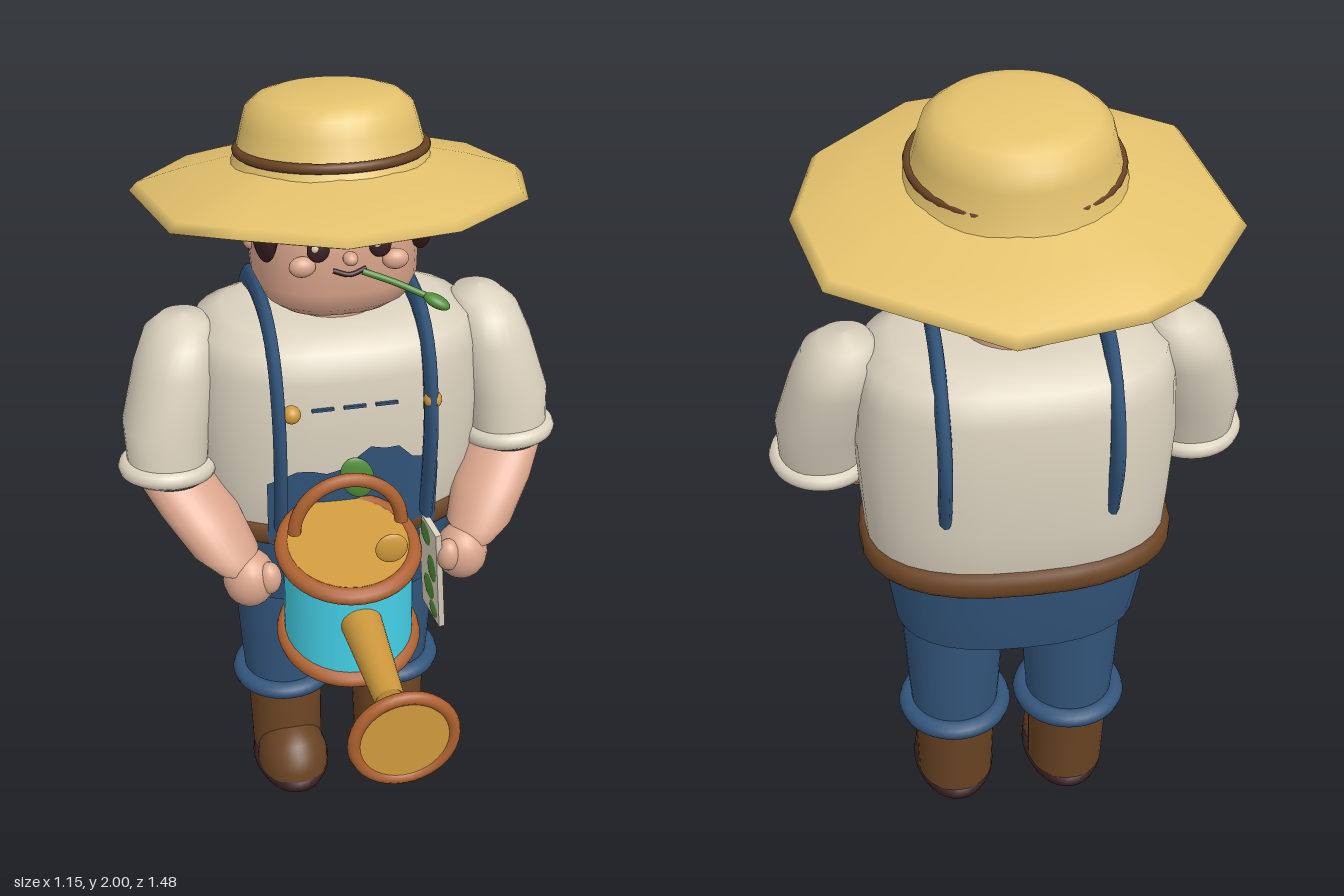
import * as THREE from 'three';

const mat = (name, color) => Object.assign(new THREE.MeshStandardMaterial({ color }), { name });

export function createModel() {
  const root = new THREE.Group();
  root.name = 'gardener';
  const straw = mat('straw', 0xe4c26d), cream = mat('cream cloth', 0xdcd2bf), skin = mat('skin', 0xdba68c);
  const denim = mat('denim', 0x32557b), brown = mat('leather', 0x6a4323), dark = mat('dark hair', 0x3b2023);
  const copper = mat('copper', 0xad602f), gold = mat('brass', 0xcf9a3d), cyan = mat('cyan enamel', 0x47d8f0);
  const green = mat('leaf green', 0x4f8c38);
  straw.side = denim.side = THREE.DoubleSide;

  const add = (name, geo, m, parent = root) => {
    const mesh = new THREE.Mesh(geo, m);
    mesh.name = name;
    parent.add(mesh);
    return mesh;
  };
  // Skin over horizontal superellipse rings [x, y, z, rx, rz], listed bottom to top
  const loft = (rings, n = 2, seg = 32) => {
    const pos = [], idx = [];
    const p = (v) => Math.sign(v) * Math.abs(v) ** (2 / n);
    rings.forEach(([x, y, z, rx, rz]) => {
      for (let j = 0; j < seg; j++) {
        const t = (j / seg) * Math.PI * 2;
        pos.push(x + rx * p(Math.cos(t)), y, z + rz * p(Math.sin(t)));
      }
    });
    for (let i = 0; i < rings.length - 1; i++) for (let j = 0; j < seg; j++) {
      const a = i * seg + j, b = i * seg + (j + 1) % seg;
      idx.push(a, a + seg, b, b, a + seg, b + seg);
    }
    const g = new THREE.BufferGeometry();
    g.setAttribute('position', new THREE.Float32BufferAttribute(pos, 3));
    g.setIndex(idx);
    g.computeVertexNormals();
    return g;
  };
  // Rings sharing one centre line: [y, rx, rz]
  const column = (x, z, rows, n) => loft(rows.map(([y, rx, rz = rx]) => [x, y, z, rx, rz]), n);
  const blob = (name, m, [x, y, z], [a, b, c], parent) => {
    const mesh = add(name, new THREE.SphereGeometry(1, 20, 14), m, parent);
    mesh.position.set(x, y, z);
    mesh.scale.set(a, b, c);
    return mesh;
  };
  const ring = (name, m, [x, y, z], r, tube, parent) => {
    const mesh = add(name, new THREE.TorusGeometry(r, tube, 10, 36).rotateX(Math.PI / 2), m, parent);
    mesh.position.set(x, y, z);
    return mesh;
  };
  const tube = (pts, r) => new THREE.TubeGeometry(
    new THREE.CatmullRomCurve3(pts.map((q) => new THREE.Vector3(...q))), 32, r, 10);

  // Torso, hips and belt
  add('shirt', column(0, -0.255, [[0.79, 0.29, 0.18], [0.815, 0.325, 0.2], [0.9, 0.358, 0.245], [1.05, 0.368, 0.26],
    [1.2, 0.375, 0.27], [1.35, 0.365, 0.262], [1.42, 0.345, 0.24], [1.45, 0.28, 0.19], [1.46, 0.2, 0.14],
    [1.46, 0, 0]], 2.5), cream);
  add('trouserSeat', column(0, -0.255, [[0.67, 0, 0], [0.67, 0.3, 0.21], [0.67, 0.3, 0.21], [0.78, 0.316, 0.234],
    [0.91, 0.332, 0.252]], 2.5), denim);
  add('belt', column(0, -0.26, [[0.88, 0.33, 0.23], [0.885, 0.365, 0.262], [0.9, 0.376, 0.272], [0.925, 0.376, 0.272],
    [0.94, 0.365, 0.262], [0.945, 0.33, 0.23]], 2.5), brown);
  add('neck', column(0, -0.25, [[1.42, 0.12], [1.52, 0.12]]), skin);

  // Bib wrapped on the chest, with an uneven upper edge
  const torsoZ = (x, y) => -0.24 + (0.245 + 0.08 * (y - 0.9)) * (1 - Math.abs(x / 0.37) ** 2.5) ** 0.4;
  const bibTop = [1.08, 1.1, 1.12, 1.12, 1.11, 1.12, 1.15, 1.18, 1.17, 1.17, 1.13, 1.12, 1.09];
  const bib = new THREE.PlaneGeometry(0.44, 1, 12, 5), bp = bib.attributes.position;
  for (let i = 0; i < bp.count; i++) {
    const x = bp.getX(i), y = 0.89 + (bp.getY(i) + 0.5) * (bibTop[i % 13] - 0.89);
    bp.setXYZ(i, x, y, torsoZ(x, y) + 0.004);
  }
  bib.computeVertexNormals();
  add('bib', bib, denim);
  [-0.08, 0, 0.08].forEach((x) => add('bibStitch', new THREE.BoxGeometry(0.055, 0.007, 0.008), denim)
    .position.set(x, 1.288, 0.014));
  blob('bibLeaf', green, [0, 1.1, 0.04], [0.042, 0.06, 0.012]).rotation.z = 0.3;
  [-0.16, 0.192].forEach((x) => blob('strapButton', gold, [x, 1.293, 0.028], [0.023, 0.023, 0.023]));

  // Mirrored parts
  for (const s of [1, -1]) {
    const strap = add('strap', tube([[0, 0.95, -0.005], [0, 1.1, 0.02], [0, 1.25, 0.025], [0, 1.4, -0.018],
      [0, 1.472, -0.1], [0, 1.495, -0.245], [0, 1.467, -0.39], [0, 1.365, -0.487], [0, 1.25, -0.515],
      [0, 1.1, -0.475]], 0.036), denim);
    strap.scale.x = 0.46;
    strap.position.x = s * 0.19;

    add('sleeve', loft([[0.45, 1.08, -0.16, 0.1, 0.105], [0.442, 1.2, -0.185, 0.11, 0.123],
      [0.405, 1.34, -0.22, 0.105, 0.13], [0.39, 1.41, -0.235, 0.09, 0.115], [0.38, 1.445, -0.24, 0.06, 0.075],
      [0.38, 1.46, -0.24, 0, 0]].map(([x, ...r]) => [s * x, ...r]), 2.2), cream);
    ring('sleeveCuff', cream, [s * 0.45, 1.08, -0.16], 0.1, 0.025).rotation.set(-0.1, 0, s * 0.05);
    add('forearm', loft([[0.32, 0.87, 0.02, 0.05, 0.06], [0.335, 0.91, 0, 0.085, 0.08], [0.39, 1.0, -0.08, 0.1, 0.108],
      [0.44, 1.07, -0.145, 0.097, 0.103]].map(([x, ...r]) => [s * x, ...r])), skin);
    blob('hand', skin, [s * 0.28, 0.835, 0.035], [0.068, 0.078, 0.07]);
    blob('thumb', skin, [s * 0.235, 0.85, 0.07], [0.032, 0.045, 0.032]);

    const x = s * 0.152;
    add('trouserLeg', column(x, -0.243, [[0.27, 0, 0], [0.27, 0.108], [0.27, 0.108], [0.4, 0.118], [0.7, 0.135]]), denim);
    ring('trouserCuff', denim, [x, 0.31, -0.243], 0.122, 0.025);
    add('bootShaft', loft([[x, 0.05, -0.225, 0.1, 0.11], [x, 0.15, -0.232, 0.102, 0.11], [x, 0.28, -0.245, 0.105, 0.106]]), brown);
    add('bootToe', column(x, -0.14, [[0.045, 0.1, 0.125], [0.08, 0.098, 0.122], [0.115, 0.086, 0.106],
      [0.145, 0.064, 0.078], [0.163, 0.036, 0.042], [0.17, 0, 0]]), brown);
    add('bootSole', column(x, -0.175, [[0, 0, 0], [0, 0.08, 0.135], [0.012, 0.1, 0.157], [0.03, 0.108, 0.165],
      [0.05, 0.105, 0.162], [0.06, 0.09, 0.145], [0.06, 0, 0]]), dark);

    // Face details
    blob('sideburn', dark, [s * 0.186, 1.73, -0.13], [0.032, 0.1, 0.085]);
    blob('ear', skin, [s * 0.203, 1.64, -0.235], [0.02, 0.025, 0.02]);
    blob('cheek', skin, [s * 0.112, 1.64, -0.05], [0.032, 0.025, 0.022]);
    blob('eye', dark, [s * 0.074, 1.68, -0.047], [0.027, 0.03, 0.014]);
    blob('eyeGlint', cream, [s * 0.074 - 0.01, 1.69, -0.034], [0.009, 0.01, 0.005]);
    blob('eyebrow', dark, [s * 0.072, 1.742, -0.048], [0.036, 0.014, 0.014]).rotation.z = s * -0.2;
  }

  // Head and hair
  add('head', loft([[0, 1.47, -0.23, 0, 0], [0, 1.47, -0.23, 0.1, 0.09], [0, 1.482, -0.23, 0.145, 0.13],
    [0, 1.51, -0.23, 0.18, 0.165], [0, 1.56, -0.235, 0.203, 0.187], [0, 1.66, -0.25, 0.207, 0.207],
    [0, 1.8, -0.25, 0.2, 0.2], [0, 1.83, -0.25, 0.1, 0.1], [0, 1.83, -0.25, 0, 0]], 2.5), skin);
  add('hairBack', loft([[0, 1.52, -0.31, 0, 0], [0, 1.52, -0.31, 0.13, 0.075], [0, 1.55, -0.305, 0.18, 0.115],
    [0, 1.6, -0.3, 0.207, 0.15], [0, 1.68, -0.3, 0.214, 0.168], [0, 1.78, -0.295, 0.212, 0.168],
    [0, 1.815, -0.28, 0.16, 0.12], [0, 1.815, -0.28, 0, 0]], 2.9), dark);
  add('fringe', column(0, -0.252, [[1.755, 0.195], [1.765, 0.212, 0.212], [1.8, 0.205], [1.83, 0.15], [1.83, 0, 0]], 2.4), dark);
  blob('nose', skin, [0, 1.657, -0.035], [0.018, 0.016, 0.022]);
  add('mouth', tube([[-0.04, 1.626, -0.044], [0, 1.614, -0.041], [0.04, 1.626, -0.044]], 0.006), dark);
  add('grassStalk', tube([[0.03, 1.62, -0.04], [0.1, 1.595, -0.02], [0.17, 1.567, 0.01]], 0.008), green);
  blob('grassTip', green, [0.195, 1.555, 0.025], [0.035, 0.015, 0.02]).rotation.set(0, -0.5, -0.4);

  // Straw hat: round crown, uneven drooping brim
  const hat = new THREE.Group();
  hat.name = 'strawHat';
  hat.position.set(0, 1.83, -0.255);
  hat.rotation.x = -0.12;
  root.add(hat);
  add('hatCrown', column(0, 0, [[-0.01, 0.242], [0.03, 0.225], [0.08, 0.212], [0.12, 0.2], [0.145, 0.17], [0.157, 0.13],
    [0.163, 0.06], [0.164, 0, 0]]), straw, hat);
  ring('hatBand', brown, [0, 0.025, 0.012], 0.225, 0.012, hat);
  const rim = [[0.48, 0], [0.42, 0.235], [0.2, 0.435], [-0.065, 0.485], [-0.29, 0.345], [-0.42, 0.255], [-0.475, -0.135],
    [-0.32, -0.365], [-0.2, -0.435], [0.07, -0.49], [0.425, -0.26]];
  // Brim rows run from the underside around the edge to the top: [blend to rim, y]
  const rows = [[0, -0.02], [0.5, -0.05], [0.93, -0.09], [1, -0.083], [0.93, -0.062], [0.5, -0.025], [0, 0.008]];
  const bpos = [], bidx = [], n = rim.length;
  rows.forEach(([k, y]) => rim.forEach(([x, z]) => {
    const f = 0.2 / Math.hypot(x, z) * (1 - k) + k;
    bpos.push(x * f, y, z * f);
  }));
  for (let i = 0; i < rows.length - 1; i++) for (let j = 0; j < n; j++) {
    const a = i * n + j, b = i * n + (j + 1) % n;
    bidx.push(a, a + n, b, b, a + n, b + n);
  }
  const brim = new THREE.BufferGeometry();
  brim.setAttribute('position', new THREE.Float32BufferAttribute(bpos, 3));
  brim.setIndex(bidx);
  brim.computeVertexNormals();
  add('hatBrim', brim, straw, hat);

  // Watering can, sheared so that it leans toward the spout
  const can = new THREE.Group();
  can.name = 'wateringCan';
  can.position.set(-0.05, 0.855, 0.16);
  root.add(can);
  const lean = new THREE.Matrix4().set(1, 0, 0, 0, 0, 1, -0.2, 0, 0, 0, 1, 0, 0, 0, 0, 1);
  add('canBody', new THREE.CylinderGeometry(0.16, 0.162, 0.25, 32).applyMatrix4(lean), cyan, can);
  [0.13, -0.128].forEach((y) => add(y > 0 ? 'canLid' : 'canBase',
    new THREE.CylinderGeometry(0.15, 0.15, 0.02, 32).translate(0, y, 0).applyMatrix4(lean), gold, can));
  [-0.128, 0.125].forEach((y) => add('canRim', new THREE.TorusGeometry(0.162, 0.02, 10, 36).rotateX(Math.PI / 2)
    .translate(0, y, 0).applyMatrix4(lean), copper, can));
  add('canHandle', new THREE.TorusGeometry(0.133, 0.017, 10, 28, Math.PI).translate(0, 0.185, 0), copper, can);
  blob('canKnob', gold, [0.08, 0.19, 0.12], [0.04, 0.04, 0.011], can);
  add('canSpout', new THREE.CylinderGeometry(0.035, 0.053, 0.34, 24).rotateX(Math.PI / 2).translate(0, 0, 0.28), gold, can);
  add('canRose', new THREE.CylinderGeometry(0.1, 0.035, 0.12, 28).rotateX(Math.PI / 2).translate(0, 0, 0.505), gold, can);
  add('canRoseFace', new THREE.CylinderGeometry(0.11, 0.11, 0.016, 28).rotateX(Math.PI / 2).translate(0, 0, 0.573), gold, can);
  add('canRoseRim', new THREE.TorusGeometry(0.114, 0.015, 10, 36).translate(0, 0, 0.573), copper, can);

  // Seed packet held in the left hand
  const packet = new THREE.Group();
  packet.name = 'seedPacket';
  packet.position.set(0.21, 0.765, 0.005);
  packet.rotation.set(0.14, 0.15, 0.1);
  root.add(packet);
  add('packetPaper', new THREE.BoxGeometry(0.016, 0.34, 0.115), cream, packet);
  [[0.12, -0.015, 0.08, 0.08], [0.02, 0.02, 0.1, 0.07], [-0.07, -0.005, 0.09, 0.085], [-0.135, 0.02, 0.06, 0.065]]
    .forEach(([y, z, h, w]) => blob('packetPrint', green, [0, y, z], [0.013, h * 0.6, w * 0.5], packet));

  return root;
}
